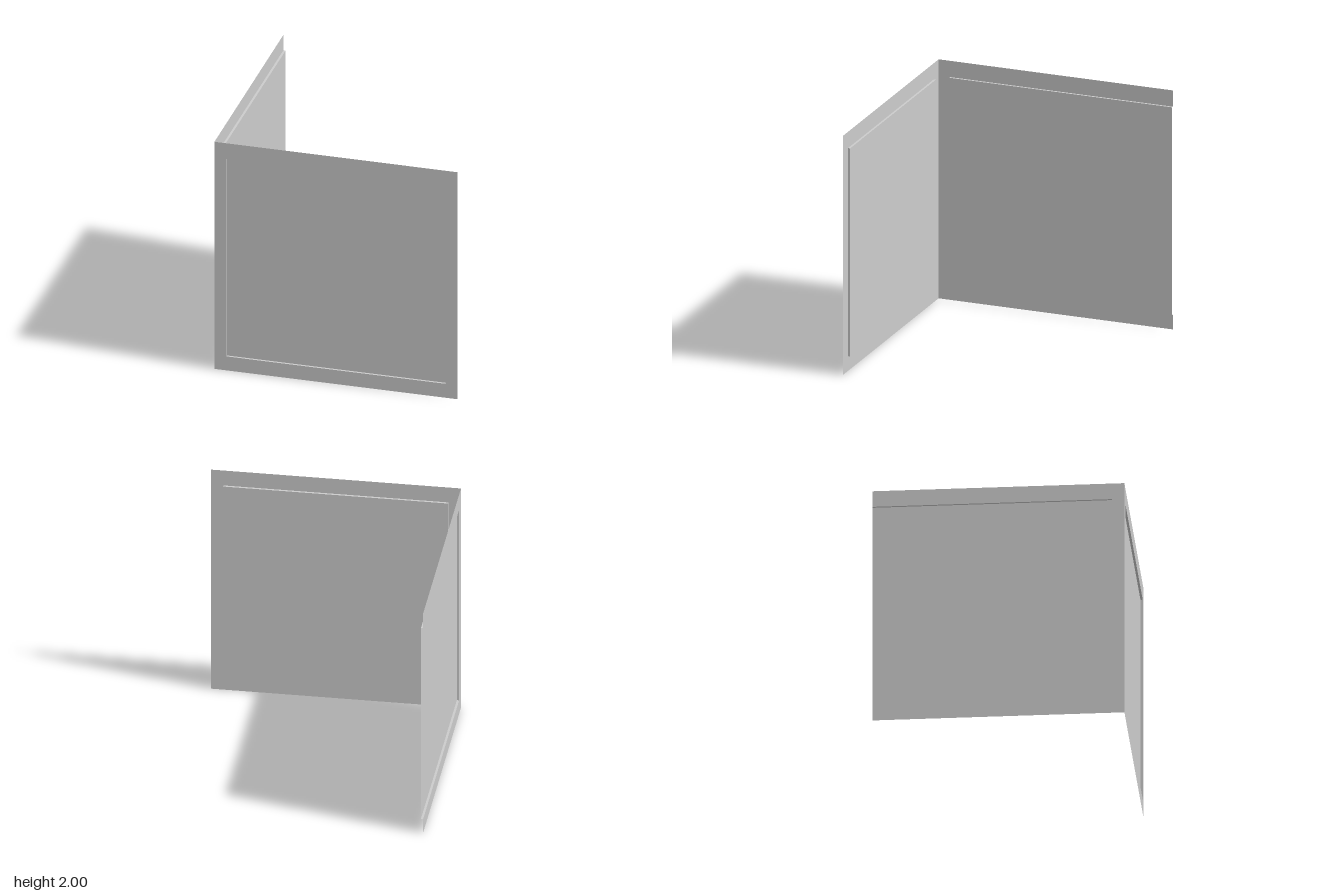
import * as THREE from 'three';

const BOTTOM = 0.123, TOP = 1.864, DEPTH = 0.018, HEIGHT = 2;

const material = new THREE.MeshStandardMaterial({
  color: 0xcccccc, flatShading: true, side: THREE.DoubleSide,
});

// Thin flat sheet, centred at the given position
function sheet(name, w, h, [x, y, z], rx = 0, ry = 0) {
  const mesh = new THREE.Mesh(new THREE.PlaneGeometry(w, h), material);
  mesh.name = name;
  mesh.position.set(x, y, z);
  mesh.rotation.set(rx, ry, 0);
  return mesh;
}

// Thin wall facing +z with a recessed panel between x = left and x = right.
// A panel that reaches the wall's end (x = -1 or 1) stays open there.
function createWall(name, left, right) {
  const wall = new THREE.Group();
  wall.name = name;
  const w = right - left, h = TOP - BOTTOM;
  const cx = (left + right) / 2, cy = (TOP + BOTTOM) / 2;

  // Recessed panel
  wall.add(sheet('recessedPanel', w, h, [cx, cy, -DEPTH]));

  // Top and bottom rails with the edges of the recess
  wall.add(
    sheet('topRail', 2, HEIGHT - TOP, [0, (HEIGHT + TOP) / 2, 0]),
    sheet('bottomRail', 2, BOTTOM, [0, BOTTOM / 2, 0]),
    sheet('topReveal', w, DEPTH, [cx, TOP, -DEPTH / 2], Math.PI / 2),
    sheet('bottomReveal', w, DEPTH, [cx, BOTTOM, -DEPTH / 2], -Math.PI / 2),
  );

  // Side stiles, only where the panel stops short of the wall's end
  for (const [x, side] of [[left, -1], [right, 1]]) {
    const width = 1 - side * x;
    if (width <= 0) continue;
    wall.add(
      sheet('stile', width, h, [(x + side) / 2, cy, 0]),
      sheet('sideReveal', DEPTH, h, [x, cy, -DEPTH / 2], 0, -side * Math.PI / 2),
    );
  }
  return wall;
}

export function createModel() {
  const model = new THREE.Group();
  model.name = 'cornerWalls';

  // Front wall, framed all round
  const front = createWall('frontWall', -0.9, 0.9);
  front.position.z = 1;

  // Right wall, its panel running out through the rear end
  const side = createWall('rightWall', -1, 0.9);
  side.rotation.y = -Math.PI / 2;
  side.position.x = -1;

  model.add(front, side);
  return model;
}
